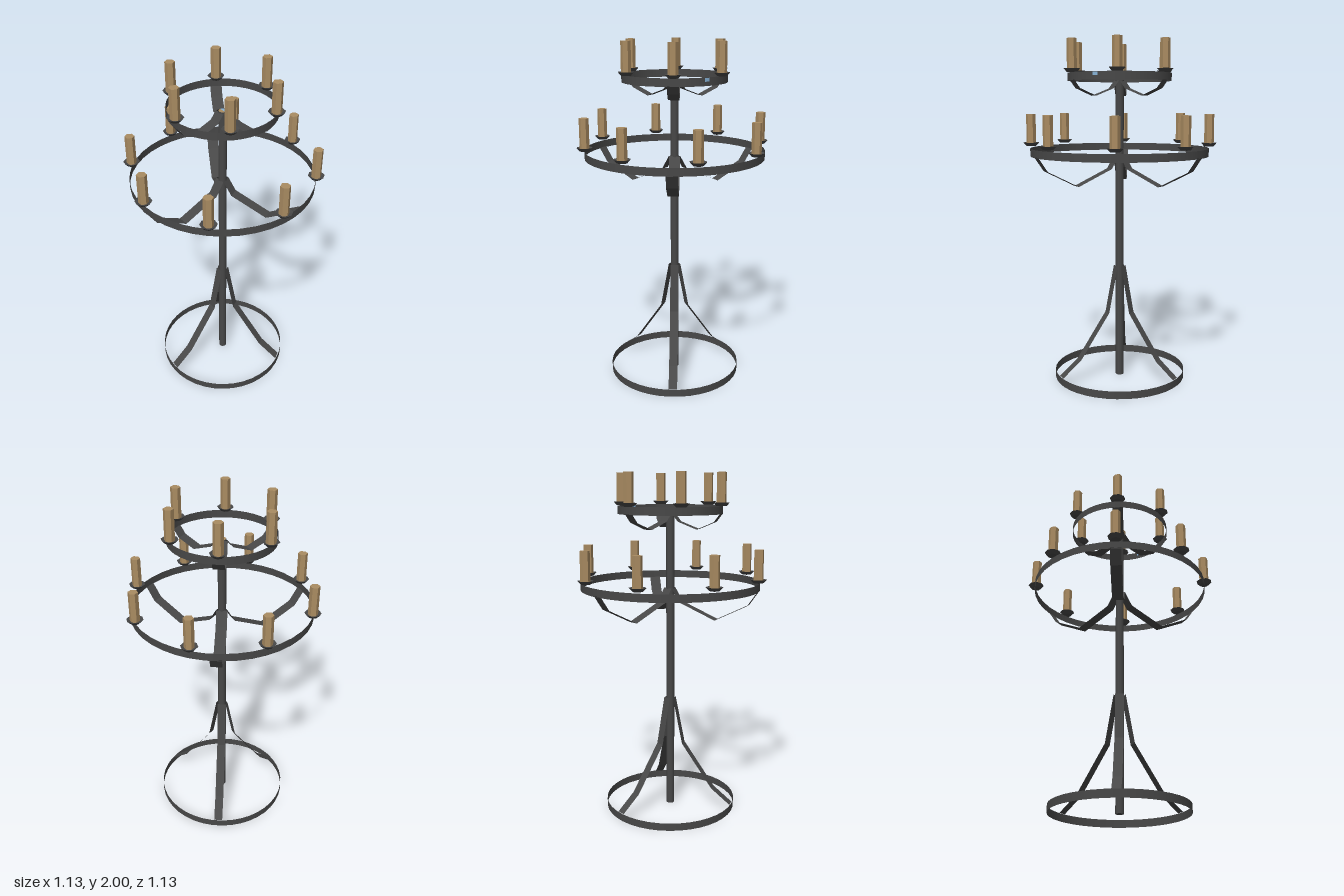
import * as THREE from 'three';

const iron = new THREE.MeshStandardMaterial({ color: 0x484848, side: THREE.DoubleSide });
iron.name = 'dark iron';
const ironFlat = iron.clone();
ironFlat.flatShading = true;
const wax = new THREE.MeshStandardMaterial({ color: 0xaa8c62, flatShading: true });
wax.name = 'tan wax';
const blue = new THREE.MeshStandardMaterial({ color: 0x86b2d6, side: THREE.DoubleSide });
blue.name = 'pale blue';

function add(parent, name, geometry, material, x = 0, y = 0, z = 0) {
  const mesh = new THREE.Mesh(geometry, material);
  mesh.name = name;
  mesh.position.set(x, y, z);
  parent.add(mesh);
  return mesh;
}

// Thin open hoop standing on edge
function hoop(parent, name, radius, bottom, height) {
  const geo = new THREE.CylinderGeometry(radius, radius, height, 40, 1, true);
  add(parent, name, geo, iron, 0, bottom + height / 2, 0);
}

// Bent flat strip following [radius, height] points, repeated three times
function straps(parent, name, points, width) {
  const geo = new THREE.PlaneGeometry(width, 1, 1, points.length - 1);
  const pos = geo.attributes.position;
  for (let i = 0; i < pos.count; i++) {
    const [r, y] = points[Math.floor(i / 2)];
    pos.setXYZ(i, r, y, pos.getX(i));
  }
  const flat = geo.toNonIndexed();
  flat.computeVertexNormals();
  for (let k = 0; k < 3; k++) {
    const strap = add(parent, name, flat, ironFlat);
    strap.rotation.y = Math.PI + (k * 2 * Math.PI) / 3;
  }
}

// Candles with drip dishes, evenly spaced on a hoop
function candles(parent, name, count, radius, base) {
  const tier = new THREE.Group();
  tier.name = name;
  const dish = new THREE.LatheGeometry([
    new THREE.Vector2(0, 0),
    new THREE.Vector2(0.028, 0),
    new THREE.Vector2(0.047, 0.02),
    new THREE.Vector2(0.024, 0.012),
  ], 8);
  const stick = new THREE.CylinderGeometry(0.028, 0.028, 0.175, 6);
  for (let i = 0; i < count; i++) {
    const a = (i / count) * Math.PI * 2;
    const x = Math.cos(a) * radius, z = Math.sin(a) * radius;
    add(tier, 'dripDish', dish, ironFlat, x, base, z).rotation.y = 0.2;
    add(tier, 'candle', stick, wax, x, base + 0.0975, z);
  }
  parent.add(tier);
}

export function createModel() {
  const model = new THREE.Group();
  model.name = 'candelabrum';

  // Central pole
  add(model, 'pole', new THREE.CylinderGeometry(0.024, 0.024, 1.775, 10), iron, 0, 0.8875, 0);

  // Hoops
  hoop(model, 'baseHoop', 0.39, 0, 0.045);
  hoop(model, 'lowerHoop', 0.52, 1.34, 0.045);
  hoop(model, 'upperHoop', 0.3, 1.77, 0.045);

  // Legs and bent supporting arms
  straps(model, 'leg', [[0.026, 0.68], [0.083, 0.4], [0.27, 0.135], [0.385, 0.045]], 0.05);
  straps(model, 'lowerArm',
    [[0.02, 1.345], [0.067, 1.265], [0.277, 1.172], [0.465, 1.265], [0.52, 1.345]], 0.064);
  straps(model, 'upperArm',
    [[0.02, 1.772], [0.055, 1.727], [0.165, 1.685], [0.265, 1.727], [0.3, 1.772]], 0.064);

  // Candle tiers
  candles(model, 'lowerCandles', 8, 0.52, 1.395);
  candles(model, 'upperCandles', 6, 0.3, 1.815);

  // Small coloured marks on the upper hoop and pole top, the hoop mark seen from both sides
  for (const r of [0.298, 0.302]) {
    const mark = new THREE.CylinderGeometry(r, r, 0.02, 2, 1, true, 1.11, 0.1);
    add(model, 'hoopMark', mark, blue, 0, 1.803, 0);
  }
  const cap = new THREE.CircleGeometry(0.022, 8, -Math.PI / 2, Math.PI);
  add(model, 'poleMark', cap, blue, 0, 1.777, 0).rotation.x = -Math.PI / 2;
  const capTan = new THREE.CircleGeometry(0.022, 8, Math.PI / 2, Math.PI);
  add(model, 'poleTopInlay', capTan, wax, 0, 1.777, 0).rotation.x = -Math.PI / 2;

  return model;
}
